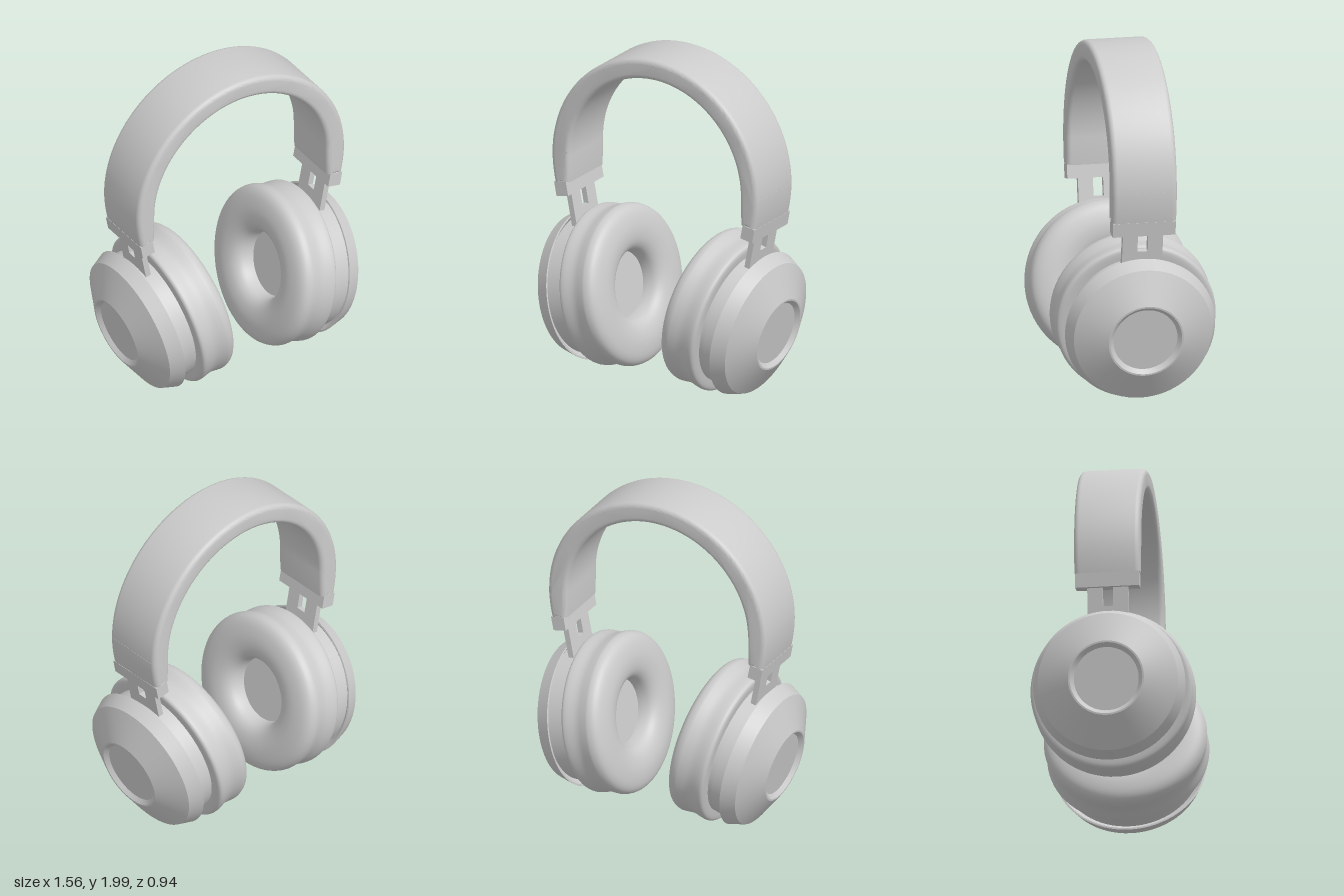
import * as THREE from 'three';
import { toCreasedNormals } from 'three/addons/utils/BufferGeometryUtils.js';

const TILT = THREE.MathUtils.degToRad(11);
const material = new THREE.MeshStandardMaterial({ color: 0xcccccc, side: THREE.DoubleSide });

function part(name, geometry, parent) {
  const mesh = new THREE.Mesh(geometry, material);
  mesh.name = name;
  parent.add(mesh);
  return mesh;
}

// Lathe around the x axis; points are [radius, distance outward along x]
function turned(points, smooth) {
  let pts = points.map(([r, s]) => new THREE.Vector2(r, s));
  if (smooth) pts = new THREE.SplineCurve(pts).getPoints(48);
  const g = new THREE.LatheGeometry(pts, 72).rotateZ(-Math.PI / 2);
  return smooth ? g : toCreasedNormals(g, 0.45);
}

// Arched band: outline in the front plane, extruded in depth with rounded edges
function bandGeometry() {
  const b = 0.03, cy = 1.29;
  const shape = new THREE.Shape();
  shape.moveTo(0.688, 1.105);
  shape.quadraticCurveTo(0.71, 1.2, 0.712, cy);
  shape.absarc(0, cy, 0.711, 0, Math.PI, false);
  shape.quadraticCurveTo(-0.71, 1.2, -0.688, 1.105);
  shape.lineTo(-0.592, 1.12);
  shape.quadraticCurveTo(-0.588, 1.2, -0.59, cy);
  shape.absarc(0, cy, 0.588, Math.PI, 0, true);
  shape.quadraticCurveTo(0.588, 1.2, 0.592, 1.12);
  const g = new THREE.ExtrudeGeometry(shape, {
    depth: 0.38 - 2 * b, bevelEnabled: true, bevelThickness: b, bevelSize: b,
    bevelOffset: -b, bevelSegments: 5, curveSegments: 48,
  });
  g.translate(0, 0, -0.19 + b);
  return toCreasedNormals(g, 0.6);
}

// Flat fork: two prongs above a solid plate
function forkGeometry() {
  const half = 0.118, slot = 0.03, low = 0.3, notch = 0.475, top = 0.6;
  const outline = [
    [-half, low], [half, low], [half, top], [slot, top],
    [slot, notch], [-slot, notch], [-slot, top], [-half, top],
  ].map(([x, y]) => new THREE.Vector2(x, y));
  const g = new THREE.ExtrudeGeometry(new THREE.Shape(outline), { depth: 0.034, bevelEnabled: false });
  return g.translate(0, 0, -0.017).rotateY(Math.PI / 2);
}

// One ear cup with its hanger, outward along local +x
function earCup() {
  const cup = new THREE.Group();
  cup.rotation.z = -TILT;
  cup.position.set(0.105, 0.54, 0);

  part('outerShell', turned([
    [0.38, 0.5], [0.415, 0.48], [0.43, 0.464], [0.44, 0.466], [0.405, 0.55],
    [0.22, 0.645], [0.21, 0.645], [0.187, 0.622], [0, 0.622],
  ]), cup);
  part('drum', turned([[0, 0.39], [0.401, 0.39], [0.401, 0.5], [0, 0.5]]), cup);
  part('cushionBase', turned([[0, 0.33], [0.398, 0.33], [0.398, 0.39], [0, 0.39]]), cup);
  part('earCushion', turned([
    [0.19, 0.25], [0.193, 0.2], [0.21, 0.15], [0.255, 0.118], [0.33, 0.106],
    [0.41, 0.118], [0.455, 0.143], [0.471, 0.18], [0.468, 0.21], [0.459, 0.265],
    [0.468, 0.33], [0.463, 0.355], [0.44, 0.364], [0.39, 0.364],
  ], true), cup);
  part('speakerCover', turned([[0, 0.23], [0.195, 0.23]]), cup);

  part('hangerFork', forkGeometry(), cup).position.x = 0.424;
  part('bandEndBlock', new THREE.BoxGeometry(0.082, 0.085, 0.368), cup).position.set(0.425, 0.627, 0);
  return cup;
}

export function createModel() {
  const model = new THREE.Group();
  model.name = 'headphones';
  part('headband', bandGeometry(), model);

  // The same assembly turned half round serves the other side
  for (const [name, turn] of [['leftEarCup', 0], ['rightEarCup', Math.PI]]) {
    const side = new THREE.Group();
    side.name = name;
    side.rotation.y = turn;
    side.add(earCup());
    model.add(side);
  }
  return model;
}
